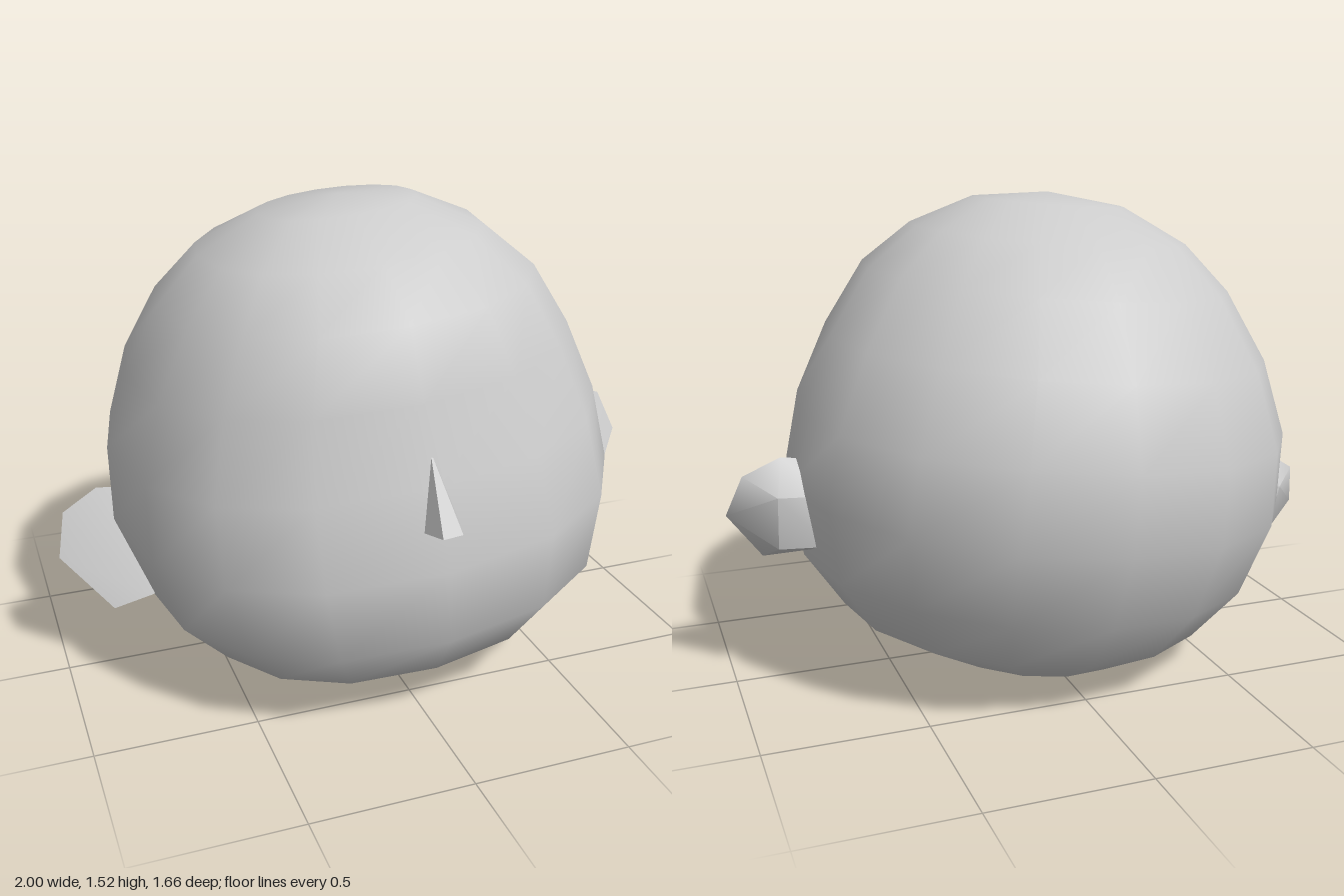
import * as THREE from 'three';
import { mergeVertices, toCreasedNormals } from 'three/addons/utils/BufferGeometryUtils.js';
import { ConvexGeometry } from 'three/addons/geometries/ConvexGeometry.js';

const SIDES = 16;

// Skull cross-sections: height, half width, front z, back z
const RINGS = [
  [0.06, 0.35, 0.33, -0.44],
  [0.163, 0.61, 0.64, -0.61],
  [0.337, 0.75, 0.775, -0.74],
  [0.58, 0.815, 0.8, -0.825],
  [0.815, 0.795, 0.735, -0.82],
  [1.05, 0.71, 0.67, -0.73],
  [1.257, 0.59, 0.61, -0.57],
  [1.395, 0.445, 0.45, -0.4],
  [1.495, 0.25, 0.24, -0.15],
];

// Smooth closed shell through the rings, with a pole at each end
function skullGeometry() {
  const pos = [], index = [];
  for (const [y, w, front, back] of RINGS) {
    const mid = (front + back) / 2, depth = (front - back) / 2;
    for (let i = 0; i < SIDES; i++) {
      const a = (i / SIDES) * Math.PI * 2;
      const s = Math.sin(a), c = Math.cos(a);
      const power = c > 0 ? 2 / 2.3 : 1; // the face is a little squarer
      pos.push(w * Math.sign(s) * Math.abs(s) ** power, y,
        mid + depth * Math.sign(c) * Math.abs(c) ** power);
    }
  }
  const bottom = pos.length / 3, top = bottom + 1;
  pos.push(0, 0.003, -0.04, 0, 1.525, 0.07);
  const last = (RINGS.length - 1) * SIDES;
  for (let i = 0; i < SIDES; i++) {
    const j = (i + 1) % SIDES;
    index.push(bottom, j, i, top, last + i, last + j);
    for (let r = 0; r < last; r += SIDES) {
      index.push(r + i, r + j, r + SIDES + j, r + i, r + SIDES + j, r + SIDES + i);
    }
  }
  const geo = new THREE.BufferGeometry();
  geo.setAttribute('position', new THREE.Float32BufferAttribute(pos, 3));
  geo.setIndex(index);
  geo.computeVertexNormals();
  return geo;
}

// Small faceted solid around a few points
function hull(points, crease) {
  const geo = new ConvexGeometry(points.map((p) => new THREE.Vector3(...p)));
  geo.deleteAttribute('normal');
  return toCreasedNormals(mergeVertices(geo, 1e-4), crease);
}

export function createModel() {
  const model = new THREE.Group();
  model.name = 'head';
  const grey = new THREE.MeshStandardMaterial({ color: 0xcccccc });
  grey.name = 'light grey';

  // The whole head leans slightly to its right
  const tilt = new THREE.Group();
  tilt.name = 'tiltedHead';
  tilt.position.x = 0.045;
  tilt.rotation.z = 0.085;
  model.add(tilt);

  const add = (name, geo) => {
    const mesh = new THREE.Mesh(geo, grey);
    mesh.name = name;
    tilt.add(mesh);
  };

  add('skull', skullGeometry());

  // Ears: flat sloping front, rounded back
  for (const side of [1, -1]) {
    const points = [
      [1.004, 0.485, -0.02], [0.87, 0.315, 0.08], [0.75, 0.345, 0.105],
      [0.85, 0.68, -0.06], [0.965, 0.62, -0.06], [0.66, 0.66, -0.03], [0.66, 0.36, 0.1],
      [0.87, 0.577, -0.155], [0.856, 0.407, -0.13], [0.7, 0.58, -0.15], [0.7, 0.41, -0.13],
    ].map(([x, y, z]) => [x * side, y, z]);
    add(side > 0 ? 'leftEar' : 'rightEar', hull(points, 0.9));
  }

  // Nose: narrow wedge with a flat underside
  add('nose', hull([
    [0, 0.92, 0.7], [0.062, 0.7, 0.74], [-0.062, 0.7, 0.74],
    [0.03, 0.71, 0.832], [-0.03, 0.71, 0.832], [0, 0.7, 0.68],
  ], 1.1));

  return model;
}
